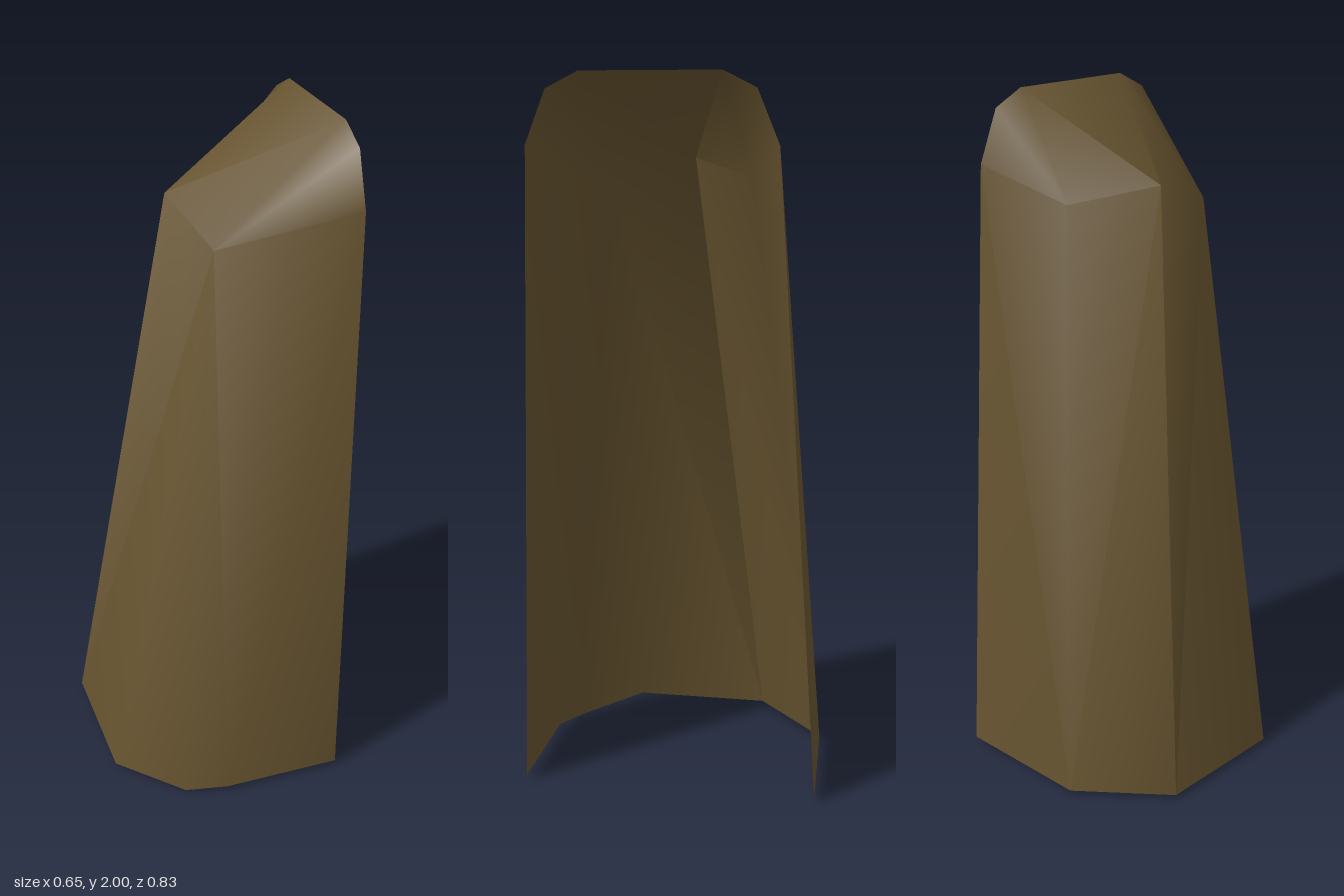
import * as THREE from 'three';
import { toCreasedNormals } from 'three/addons/utils/BufferGeometryUtils.js';

// Rim of the open side, from the front foot over the arch to the back foot
const OPEN_X = 0.325;
const rim = [
  [0.415, 0.015], [0.377, 1.81], [0.32, 1.955], [0.23, 2],
  [-0.15, 2], [-0.24, 1.955], [-0.3, 1.81], [-0.42, 0.015],
].map(([z, y]) => new THREE.Vector3(OPEN_X, y, z));

// Lower edge, from front to back around the closed side
const base = [
  [-0.03, 0.015, 0.415], [-0.15, 0, 0.375], [-0.325, 0.015, 0.212],
  [-0.328, 0.015, -0.19], [-0.09, 0.015, -0.397],
].map((p) => new THREE.Vector3(...p));

// Shoulder where the walls meet the sloping roof
const front = new THREE.Vector3(-0.02, 1.69, 0.222);
const peak = new THREE.Vector3(-0.078, 1.77, -0.01);
const back = new THREE.Vector3(0.09, 1.72, -0.2);

// Builds triangles that all face away from a point inside the shell
function shellGeometry(triangles) {
  const inside = new THREE.Vector3(0.2, 0.9, 0);
  const points = [];
  for (const [a, b, c] of triangles) {
    const normal = b.clone().sub(a).cross(c.clone().sub(a));
    const outward = normal.dot(a.clone().sub(inside)) > 0;
    points.push(...(outward ? [a, b, c] : [a, c, b]));
  }
  const geometry = new THREE.BufferGeometry().setFromPoints(points);
  return toCreasedNormals(geometry, 1.0);
}

export function createModel() {
  const group = new THREE.Group();
  group.name = 'hollowShell';
  const brown = new THREE.MeshStandardMaterial({ color: 0x66532f, side: THREE.DoubleSide });
  brown.name = 'earthBrown';

  const walls = [
    // front wall
    [rim[0], rim[1], base[0]], [base[0], rim[1], front],
    // rounded front corner
    [base[0], base[1], front], [base[1], base[2], front],
    // closed side
    [base[2], base[3], front], [base[3], peak, front],
    // rear corner
    [base[3], base[4], peak], [base[4], back, peak],
    // back wall
    [base[4], rim[6], back], [base[4], rim[7], rim[6]],
  ];
  const roof = [
    [front, rim[1], rim[2]], [front, rim[2], rim[3]], [front, rim[3], peak],
    [peak, rim[3], rim[4]], [peak, rim[4], back],
    [back, rim[4], rim[5]], [back, rim[5], rim[6]],
  ];

  // walls and roof share smoothed normals, so they form one skin
  const shell = new THREE.Mesh(shellGeometry([...walls, ...roof]), brown);
  shell.name = 'shell';
  group.add(shell);
  return group;
}
